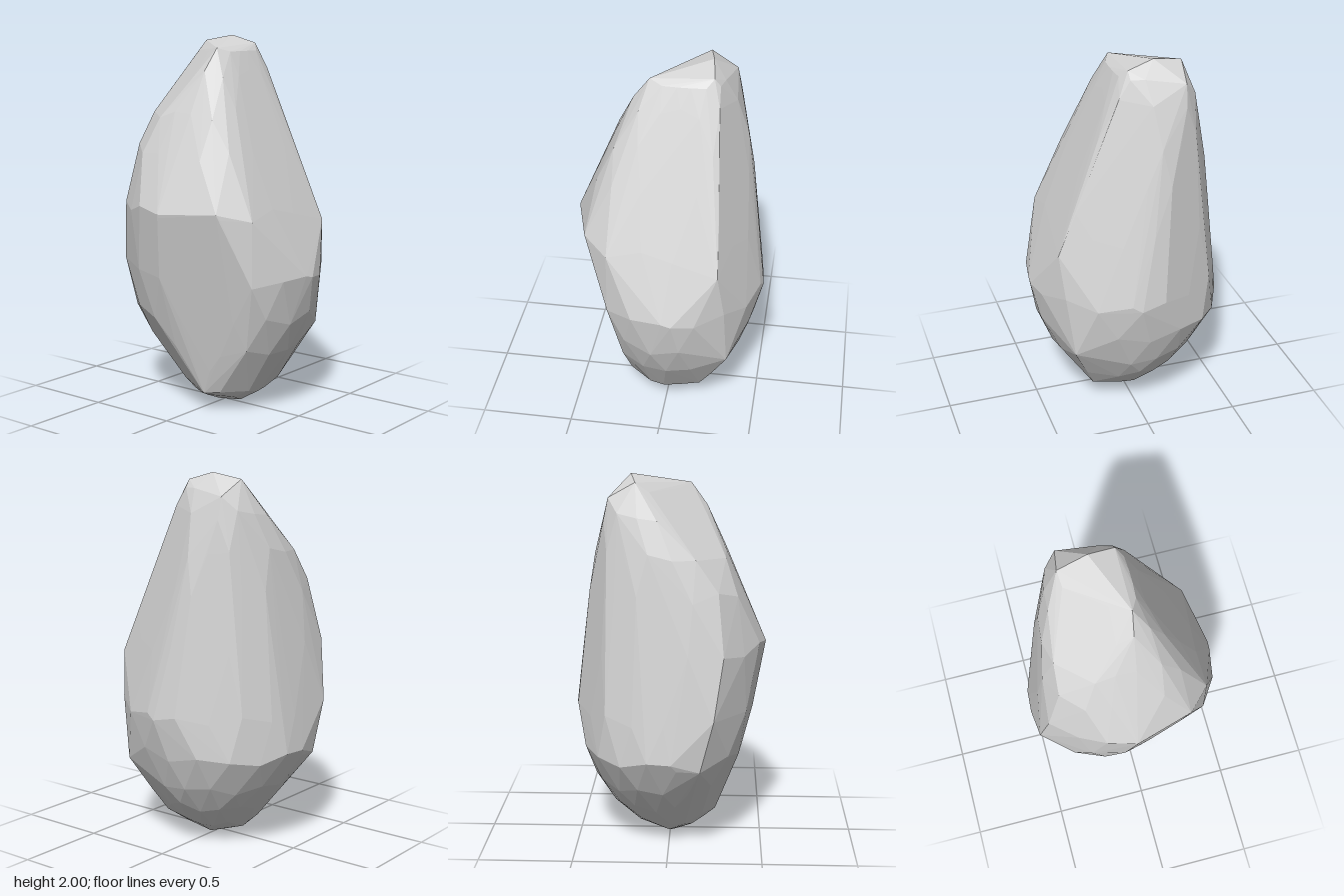
import * as THREE from 'three';
import { ConvexGeometry } from 'three/addons/geometries/ConvexGeometry.js';

// Outline of the stone by height: y, x min, x max, z min, z max
const outline = [
  [0.0, -0.03, 0.08, -0.06, 0.03],
  [0.09, -0.2, 0.235, -0.21, 0.235],
  [0.22, -0.31, 0.31, -0.335, 0.295],
  [0.35, -0.42, 0.41, -0.41, 0.36],
  [0.53, -0.535, 0.49, -0.475, 0.42],
  [0.75, -0.53, 0.53, -0.51, 0.47],
  [1.1, -0.495, 0.42, -0.465, 0.515],
  [1.4, -0.445, 0.285, -0.425, 0.38],
  [1.6, -0.41, 0.205, -0.39, 0.31],
  [1.8, -0.345, 0.125, -0.335, 0.22],
  [1.92, -0.29, 0.07, -0.27, 0.13],
];

// Flat chips struck off the stone: normal x, y, z and offset
const chips = [
  [1, 0.4, 0, 0.84],           // long left slope
  [0.3, -0.235, 1, 0.245],     // lower front
  [-0.42, -0.6, 1, 0.15],      // lower front, turned right
  [-0.62, 0.8, 0.78, 1.62],    // top front, turned right
  [-0.62, 0.24, 0.78, 0.785],  // upper front, turned right
  [0, 0.45, 1, 1.02],          // upper front
  [0.66, 0, 0.75, 0.505],      // front left corner
  [-0.51, 0, 0.86, 0.51],      // front right corner
  [-0.65, 0, 0.76, 0.522],     // right corner
  [0.7, 0, -0.7, 0.52],        // back left corner
  [0.4, 0.225, -0.92, 0.68],   // back, turned left
  [-0.47, 0.07, -0.88, 0.535], // back, turned right
  [-0.88, 0.1, -0.48, 0.585],  // right side, turned back
  [-1, 0.12, -0.1, 0.605],     // right side
];

// Single corners: crooked peak, widest corners, back left ridge, small base
const corners = [
  [-0.11, 2, -0.2], [-0.27, 1.97, -0.17], [0.03, 1.96, -0.22], [0.03, 1.94, 0.11],
  [-0.25, 1.89, -0.31], [0.085, 1.88, 0],
  [0.53, 0.75, -0.07], [-0.535, 0.55, 0.02], [0.04, 0.73, -0.515],
  [-0.04, 1.1, 0.515], [0.29, 1.09, 0.41], [-0.52, 0.78, 0.24], [-0.5, 0.5, 0.17],
  [0.33, 1.25, -0.29], [0.43, 1.02, -0.3], [0.36, 0.43, -0.35],
  [0.27, 0.24, -0.26], [0.22, 0.12, -0.19],
  [0.05, 0.1, 0.25], [-0.14, 0.14, 0.18], [0.15, 0.04, 0], [-0.16, 0.05, 0],
  [-0.03, 0, 0.02], [0.08, 0, -0.03], [0.02, 0, -0.06],
];

function extentsAt(y) {
  let i = 0;
  while (i < outline.length - 2 && outline[i + 1][0] < y) i++;
  const a = outline[i], b = outline[i + 1];
  const t = THREE.MathUtils.clamp((y - a[0]) / (b[0] - a[0]), 0, 1);
  return a.map((v, k) => THREE.MathUtils.lerp(v, b[k], t));
}

// A point on the blank, round below and squarer above, pulled in to the nearest chip
function stonePoint(y, angle) {
  const [, x0, x1, z0, z1] = extentsAt(y);
  const power = THREE.MathUtils.mapLinear(THREE.MathUtils.clamp(y, 0.75, 1.4), 0.75, 1.4, 2, 4);
  const cos = Math.cos(angle), sin = Math.sin(angle);
  const r = (Math.abs(cos) ** power + Math.abs(sin) ** power) ** (-1 / power);
  const c = new THREE.Vector3((x0 + x1) / 2, y, (z0 + z1) / 2);
  const d = new THREE.Vector3(cos * r * (x1 - x0) / 2, 0, sin * r * (z1 - z0) / 2);
  let scale = 1;
  for (const [nx, ny, nz, offset] of chips) {
    const n = new THREE.Vector3(nx, ny, nz);
    const out = n.dot(d);
    if (out > 0) scale = Math.min(scale, (offset - n.dot(c)) / out);
  }
  return c.addScaledVector(d, scale);
}

export function createModel() {
  const group = new THREE.Group();
  const stoneGrey = new THREE.MeshStandardMaterial({ color: 0xd5d5d5 });
  stoneGrey.name = 'stone grey';

  // Staggered rings, slightly uneven in height
  const points = corners.map((p) => new THREE.Vector3(...p));
  const sides = 18;
  outline.slice(1).forEach(([y], row) => {
    for (let i = 0; i < sides; i++) {
      const angle = (i + (row % 2) * 0.5) / sides * Math.PI * 2;
      const lift = y > 1.85 ? 0 : 0.025 * Math.sin(i * 2.4 + row * 1.7);
      points.push(stonePoint(y + lift, angle));
    }
  });

  const stone = new THREE.Mesh(new ConvexGeometry(points), stoneGrey);
  stone.name = 'stone';
  group.add(stone);
  return group;
}
